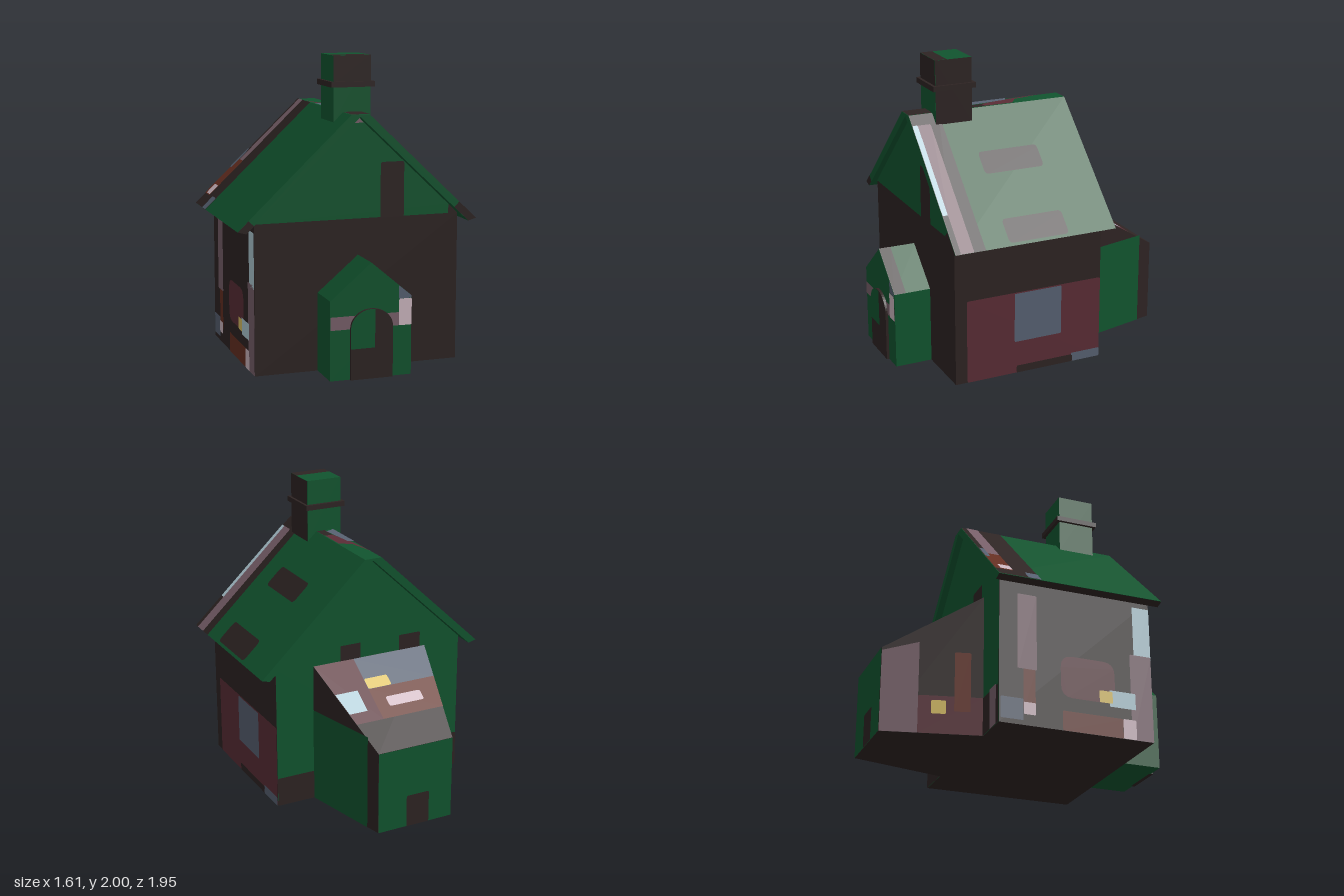
import * as THREE from 'three';

const mat = (name, color) => {
  const m = new THREE.MeshStandardMaterial({ color });
  m.name = name;
  return m;
};

export function createModel() {
  const house = new THREE.Group();
  house.name = 'cottage';
  const dark = mat('dark brown', 0x2e2423), green = mat('green', 0x11552f);
  const maroon = mat('maroon', 0x5b2d36), slate = mat('slate', 0x586273);
  const sky = mat('pale blue', 0xb0cbd5), rust = mat('rust', 0x672f21);
  const mauve = mat('mauve', 0x7a616b), pink = mat('pale pink', 0xcfb9c2);
  const yellow = mat('yellow', 0xdcc264);

  const add = (name, geo, material) => {
    const m = new THREE.Mesh(geo, material);
    m.name = name;
    house.add(m);
    return m;
  };
  const poly = pts => new THREE.Shape(pts.map(p => new THREE.Vector2(p[0], p[1])));
  const prism = (name, shape, z0, z1, material) => {
    const g = new THREE.ExtrudeGeometry(shape, { depth: z1 - z0, bevelEnabled: false, curveSegments: 10 });
    return add(name, g.translate(0, 0, z0), material);
  };
  const box = (name, x0, x1, y0, y1, z0, z1, material) => add(name,
    new THREE.BoxGeometry(x1 - x0, y1 - y0, z1 - z0)
      .translate((x0 + x1) / 2, (y0 + y1) / 2, (z0 + z1) / 2), material);

  // A face maps two plan coordinates onto a flat side of the house
  const face = (at, nx, ny, nz) => ({ at, n: new THREE.Vector3(nx, ny, nz).normalize() });
  const rect = (a, b, c, d, r) => {
    const x0 = Math.min(a, c), x1 = Math.max(a, c), y0 = Math.min(b, d), y1 = Math.max(b, d);
    const s = new THREE.Shape();
    s.moveTo(x0 + r, y0).lineTo(x1 - r, y0).quadraticCurveTo(x1, y0, x1, y0 + r);
    s.lineTo(x1, y1 - r).quadraticCurveTo(x1, y1, x1 - r, y1);
    s.lineTo(x0 + r, y1).quadraticCurveTo(x0, y1, x0, y1 - r);
    s.lineTo(x0, y0 + r).quadraticCurveTo(x0, y0, x0 + r, y0);
    return s;
  };
  // Painted patch lying just above a face; layer sets the stacking order
  const paint = (name, material, f, shape, layer = 1) => {
    const g = new THREE.ShapeGeometry(shape, 4), p = g.attributes.position, v = [];
    for (let i = 0; i < p.count; i++) {
      v.push(f.at(p.getX(i), p.getY(i)).addScaledVector(f.n, 0.0025 * layer));
      p.setXYZ(i, v[i].x, v[i].y, v[i].z);
    }
    const ix = Array.from(g.index.array);
    const [a, b, c] = [v[ix[0]], v[ix[1]], v[ix[2]]];
    if (b.clone().sub(a).cross(c.clone().sub(a)).dot(f.n) < 0) ix.reverse();
    g.setIndex(ix);
    g.computeVertexNormals();
    return add(name, g, material);
  };
  const patches = (name, f, list) => list.forEach(([m, a, b, c, d, layer = 1, r = 0.008]) =>
    paint(name, m, f, rect(a, b, c, d, r), layer));
  const V = (x, y, z) => new THREE.Vector3(x, y, z);

  // Main walls with gables
  prism('mainWalls', poly([[-0.685, 0], [0.685, 0], [0.685, 0.975], [0, 1.62], [-0.685, 0.975]]), -0.34, 0.7, dark);
  const front = face((x, y) => V(x, y, 0.7), 0, 0, 1);
  const back = face((x, y) => V(x, y, -0.34), 0, 0, -1);
  const left = face((z, y) => V(0.685, y, z), 1, 0, 0);
  const right = face((z, y) => V(-0.685, y, z), -1, 0, 0);
  paint('frontGable', green, front, poly([[-0.685, 0.975], [0.62, 0.975], [0.62, 1.036], [0, 1.62]]));
  paint('gableTip', mauve, front, poly([[-0.035, 1.585], [0.035, 1.585], [0, 1.62]]), 2);
  patches('gablePanel', front, [[dark, 0.15, 0.97, 0.31, 1.33, 2, 0.015]]);
  paint('backWall', green, back, poly([[-0.685, 0], [0.685, 0], [0.685, 0.975], [0, 1.62], [-0.685, 0.975]]));
  patches('backPanel', back, [
    [dark, 0.07, 0.93, 0.22, 1.06, 2], [dark, -0.38, 0.93, -0.22, 1.06, 2],
    [dark, -0.685, 0, -0.41, 0.25, 2], [mauve, -0.65, 0, -0.54, 0.26, 3],
    [dark, 0.41, 0, 0.685, 0.2, 2],
  ]);
  patches('leftWallPanel', left, [
    [maroon, 0.62, 0, -0.34, 0.567, 1, 0.015], [slate, 0.285, 0.222, -0.052, 0.56, 2],
    [dark, 0.27, 0, -0.14, 0.05, 2], [slate, -0.13, 0, -0.34, 0.06, 2],
  ]);
  patches('rightWallPanel', right, [
    [mauve, -0.22, 0.37, -0.09, 0.88], [rust, -0.18, 0.1, -0.1, 0.37],
    [slate, -0.33, 0.03, -0.18, 0.17], [pink, -0.18, 0.07, -0.1, 0.15, 2],
    [maroon, 0.07, 0.22, 0.44, 0.5, 1, 0.08], [yellow, 0.33, 0.22, 0.42, 0.3, 3],
    [sky, 0.4, 0.2, 0.58, 0.31, 2], [rust, 0.08, 0, 0.49, 0.13],
    [pink, 0.49, 0, 0.58, 0.13, 2], [mauve, 0.55, 0, 0.7, 0.58], [sky, 0.58, 0.56, 0.7, 0.92],
  ]);

  // Main roof slab
  prism('mainRoof', poly([[0.8, 0.94], [0.06, 1.64], [-0.06, 1.64], [-0.8, 0.94],
    [-0.745, 0.925], [0, 1.625], [0.745, 0.925]]), -0.385, 0.74, green);
  const slopeY = x => 0.94 + (0.8 - Math.abs(x)) * (0.7 / 0.74);
  const roofL = face((x, z) => V(x, slopeY(x), z), 0.7, 0.74, 0);
  const roofR = face((x, z) => V(x, slopeY(x), z), -0.7, 0.74, 0);
  const ridge = face((x, z) => V(x, 1.64, z), 0, 1, 0);
  const roofFront = face((x, y) => V(x, y, 0.74), 0, 0, 1);
  patches('leftRoofPanel', roofL, [
    [dark, 0.06, 0.535, 0.8, 0.74, 1, 0.001], [mauve, 0.12, 0.615, 0.8, 0.74, 2],
    [sky, 0.12, 0.705, 0.6, 0.74, 3], [dark, 0.6, 0.705, 0.8, 0.74, 3],
    [dark, 0.3, -0.053, 0.42, 0.365, 1, 0.025], [dark, 0.66, -0.053, 0.785, 0.365, 1, 0.025],
  ]);
  patches('rightRoofPanel', roofR, [
    [dark, -0.8, -0.385, -0.06, -0.1, 1, 0.001], [rust, -0.73, -0.385, -0.49, -0.267, 2],
    [mauve, -0.49, -0.35, -0.06, -0.267, 2], [slate, -0.55, -0.385, -0.42, -0.352, 3],
    [pink, -0.725, -0.35, -0.665, -0.267, 3], [slate, -0.8, -0.187, -0.725, -0.1, 2],
  ]);
  paint('ridgePanel', maroon, ridge, poly([[-0.06, -0.24], [-0.02, -0.05], [0.055, 0], [0.055, 0.2], [0, 0.2], [-0.04, 0]]));
  paint('ridgePanel', slate, ridge, poly([[-0.06, 0], [-0.02, 0.02], [0.005, 0.28], [-0.06, 0.31]]), 2);
  patches('ridgePanel', ridge, [[dark, 0, 0.2, 0.06, 0.32], [dark, -0.06, 0.5, 0.06, 0.74]]);
  for (const [s, tip] of [[1, 0.68], [-1, 0.73]]) {
    const inner = tip - 0.035;
    paint('eaveTip', dark, roofFront, poly([[s * 0.8, 0.94], [s * 0.745, 0.925],
      [s * inner, 0.925 + (0.745 - inner) * 0.94], [s * tip, slopeY(tip)]]));
    const eave = face((u, z) => V(s * u, 0.925 + (u - 0.745) * 0.273, z), s * 0.26, -1, 0);
    paint('eaveEnd', dark, eave, rect(0.745, -0.385, 0.8, 0.74, 0.001));
  }

  // Chimney with a collar
  box('chimney', -0.125, 0.125, 1.575, 2, 0.325, 0.578, green);
  box('chimneyCollar', -0.145, 0.145, 1.8, 1.835, 0.303, 0.6, dark);
  paint('chimneyFront', dark, face((x, y) => V(x, y, 0.578), 0, 0, 1), rect(-0.125, 1.82, 0.125, 2, 0.001));
  paint('chimneySide', dark, face((z, y) => V(0.125, y, z), 1, 0, 0), rect(0.325, 1.575, 0.578, 2, 0.001));
  paint('chimneyTop', dark, face((x, z) => V(x, 1.998, z), 0, 1, 0), rect(-0.125, 0.495, 0.125, 0.578, 0.001));

  // Porch
  prism('porch', poly([[-0.27, 0], [0.27, 0], [0.27, 0.512], [0, 0.74], [-0.27, 0.512]]), 0.69, 0.95, green);
  const porchFront = face((x, y) => V(x, y, 0.95), 0, 0, 1);
  patches('porchBand', porchFront, [[mauve, -0.27, 0.325, 0.27, 0.41, 1, 0.001], [pink, 0.185, 0.325, 0.27, 0.497, 2]]);
  paint('porchCorner', slate, porchFront, poly([[0.185, 0.497], [0.27, 0.497], [0.27, 0.512], [0.185, 0.582]]));
  paint('porchRoofEdge', dark, face((x, z) => V(x, 0.74 - x * 0.844, z), 0.844, 1, 0), rect(0, 0.87, 0.27, 0.95, 0.001));

  // Arched door
  const arch = new THREE.Shape();
  arch.moveTo(-0.14, 0).lineTo(0.14, 0).lineTo(0.14, 0.33);
  arch.absellipse(0, 0.33, 0.14, 0.12, 0, Math.PI, false);
  arch.lineTo(-0.14, 0);
  prism('door', arch, 0.94, 0.968, dark);
  const panel = new THREE.Shape();
  panel.moveTo(-0.14, 0.2).lineTo(0.02, 0.2).lineTo(0.02, 0.449);
  panel.absellipse(0, 0.33, 0.14, 0.12, Math.PI / 2, Math.PI, false);
  paint('doorPanel', green, face((x, y) => V(x, y, 0.968), 0, 0, 1), panel);

  // Tapered lean-to at the back, built from a box
  const extW = z => 0.27 + (z + 0.97) * 0.233, extY = z => 0.56 + (z + 0.97) * 0.627;
  const ext = new THREE.BoxGeometry(2, 1, 0.63).translate(0, 0.5, -0.655).toNonIndexed();
  const p = ext.attributes.position;
  for (let i = 0; i < p.count; i++) {
    const z = p.getZ(i);
    p.setXYZ(i, p.getX(i) * extW(z), p.getY(i) * extY(z), z);
  }
  ext.computeVertexNormals();
  add('leanTo', ext, dark);
  const extL = face((z, y) => V(extW(z), y, z), 1, 0, -0.233);
  const extR = face((z, y) => V(-extW(z), y, z), -1, 0, -0.233);
  const extTop = face((x, z) => V(x, extY(z), z), 0, 1, -0.627);
  const extBack = face((x, y) => V(x, y, -0.97), 0, 0, -1);
  patches('leanToLeftPanel', extL, [[green, -0.87, 0, -0.34, 0.642, 1, 0.001]]);
  paint('leanToRightPanel', mauve, extR, poly([[-0.97, 0], [-0.74, 0], [-0.74, 0.61], [-0.97, 0.54]]));
  patches('leanToRightPanel', extR, [
    [maroon, -0.74, 0, -0.345, 0.25], [rust, -0.52, 0.15, -0.42, 0.55, 2], [yellow, -0.66, 0.13, -0.57, 0.22, 2],
  ]);
  patches('leanToBack', extBack, [[green, -0.27, 0, 0.27, 0.56, 1, 0.001], [dark, -0.1, 0, 0.065, 0.22, 2, 0.012]]);
  const strip = (m, x0, x1, z0, z1) => paint('leanToRoofPanel', m, extTop,
    poly([[x0 ?? -extW(z0), z0], [x1 ?? extW(z0), z0], [x1 ?? extW(z1), z1], [x0 ?? -extW(z1), z1]]));
  strip(rust, null, 0.125, -0.765, -0.56);
  strip(slate, null, 0.125, -0.56, -0.345);
  strip(maroon, 0.125, null, -0.765, -0.345);
  patches('leanToRoofWindow', extTop, [
    [pink, -0.215, -0.695, 0.04, -0.63, 2, 0.015], [yellow, -0.045, -0.56, 0.125, -0.49, 2, 0.012],
  ]);
  paint('leanToRoofWindow', sky, extTop,
    poly([[0.205, -0.695], [extW(-0.695), -0.695], [extW(-0.555), -0.555], [0.205, -0.555]]), 2);

  return house;
}
